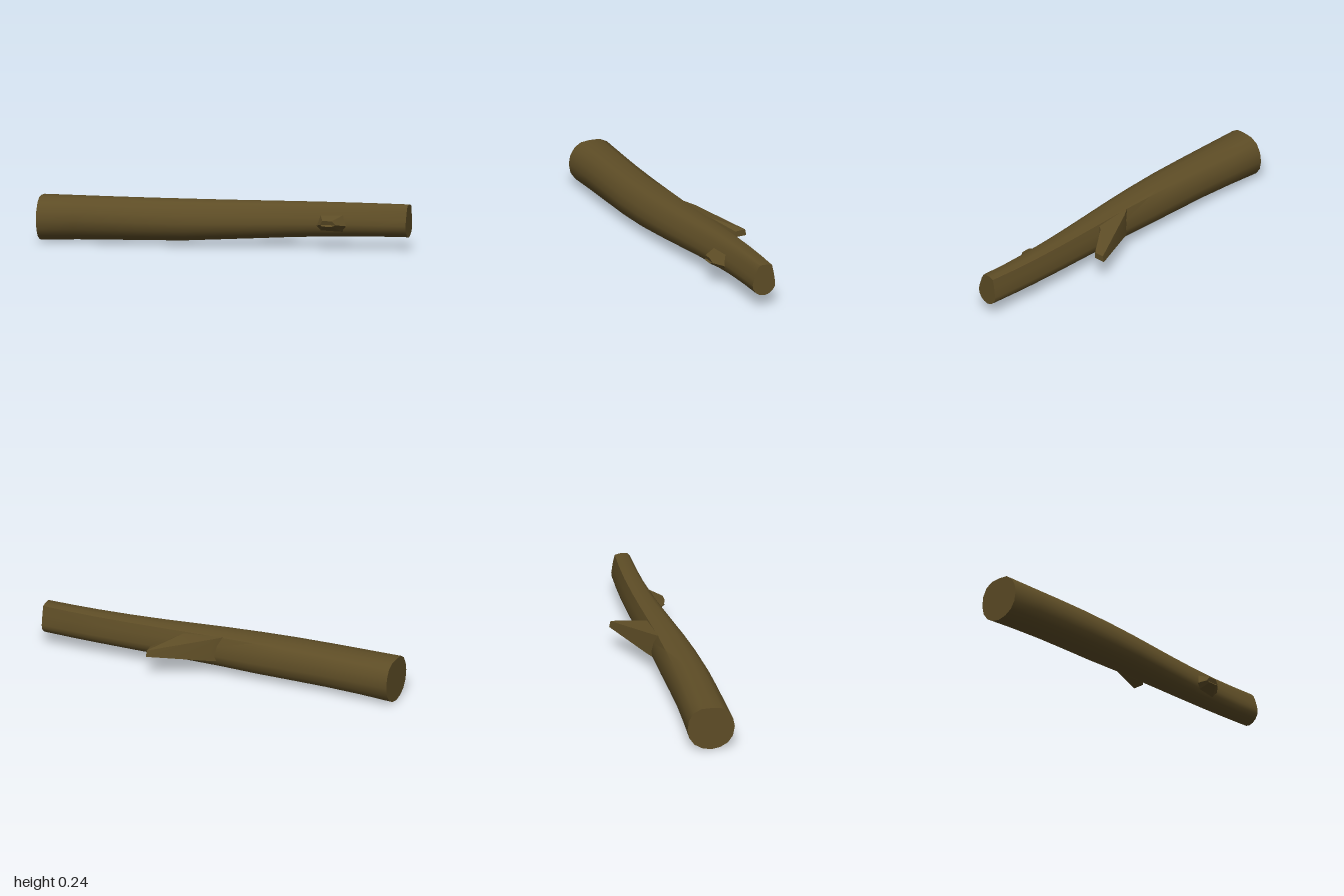
import * as THREE from 'three';
import { toCreasedNormals } from 'three/addons/utils/BufferGeometryUtils.js';

// Skin a list of rings (each counter-clockwise seen from the start) and cap both ends
function loft(rings, crease) {
  const n = rings[0].length, last = (rings.length - 1) * n, index = [];
  for (let i = 0; i < rings.length - 1; i++) {
    for (let k = 0; k < n; k++) {
      const a = i * n + k, b = i * n + (k + 1) % n;
      index.push(a, a + n, b + n, a, b + n, b);
    }
  }
  for (let k = 1; k < n - 1; k++) {
    index.push(0, k, k + 1, last, last + k + 1, last + k);
  }
  const geometry = new THREE.BufferGeometry();
  geometry.setAttribute('position', new THREE.Float32BufferAttribute(rings.flat(2), 3));
  geometry.setIndex(index);
  return toCreasedNormals(geometry, crease);
}

// Trunk outline as [across, up]: round at the thick end, flat-topped egg at the thin end
const THICK = [[1, .52], [.93, .71], [.74, .88], [.45, .98], [.05, 1], [-.4, .99], [-.74, .9], [-.94, .72],
  [-1, .5], [-.92, .3], [-.71, .14], [-.38, .04], [0, 0], [.38, .04], [.71, .14], [.92, .3]];
const THIN = [[1, .38], [.88, .56], [.66, .8], [.48, .93], [.3, 1], [-.3, 1], [-.72, .96], [-.88, .68],
  [-1, .36], [-.97, .25], [-.72, .12], [-.38, .03], [0, 0], [.38, .03], [.74, .12], [.95, .25]];

// Stations along the trunk: x, back z, front z, underside y
const STATIONS = [
  [-1, -.075, .18, 0], [-.8, -.062, .184, .009], [-.6, -.05, .188, .014], [-.4, -.045, .19, .017],
  [-.2, -.043, .182, .022], [0, -.041, .165, .033], [.2, -.045, .142, .043], [.35, -.048, .125, .051],
  [.5, -.05, .111, .057], [.7, -.048, .099, .063], [.85, -.041, .097, .066], [1, -.03, .1, .068],
];
const TOP = .242;

function trunkRings() {
  return STATIONS.map(([x, back, front, under]) => {
    const t = (x + 1) / 2;
    return THICK.map(([u0, v0], k) => {
      const u = THREE.MathUtils.lerp(u0, THIN[k][0], t);
      const v = THREE.MathUtils.lerp(v0, THIN[k][1], t);
      // the sawn ends are slightly skewed
      const skew = x === -1 ? .0075 * (1 - u) : x === 1 ? -.005 * (1 + u) : 0;
      return [x + skew, under + v * (TOP - under), (back + front) / 2 + u * (front - back) / 2];
    });
  });
}

export function createModel() {
  const group = new THREE.Group();
  group.name = 'log';
  const bark = new THREE.MeshStandardMaterial({ color: 0x5e4d26 });
  bark.name = 'bark brown';
  const add = (name, rings, crease) => {
    const mesh = new THREE.Mesh(loft(rings, crease), bark);
    mesh.name = name;
    group.add(mesh);
  };

  add('trunk', trunkRings(), .8);

  // Broken side branch, sweeping back from the trunk
  add('branchStub', [
    [[.2, .12, 0], [.18, .225, 0], [-.03, .23, -.01], [-.04, .09, -.01]],
    [[.23, .125, -.05], [.21, .215, -.045], [.03, .222, -.046], [.03, .1, -.055]],
    [[.34, .133, -.13], [.34, .165, -.13], [.34, .167, -.188], [.34, .133, -.195]],
  ], .3);

  // Small knot on the front
  add('knot', [
    [[.49, .12, .08], [.52, .19, .07], [.66, .19, .07], [.7, .12, .07], [.66, .085, .07], [.52, .085, .07]],
    [[.535, .138, .15], [.55, .16, .157], [.6, .16, .157], [.62, .138, .15], [.6, .13, .157], [.55, .13, .157]],
  ], .6);

  return group;
}
